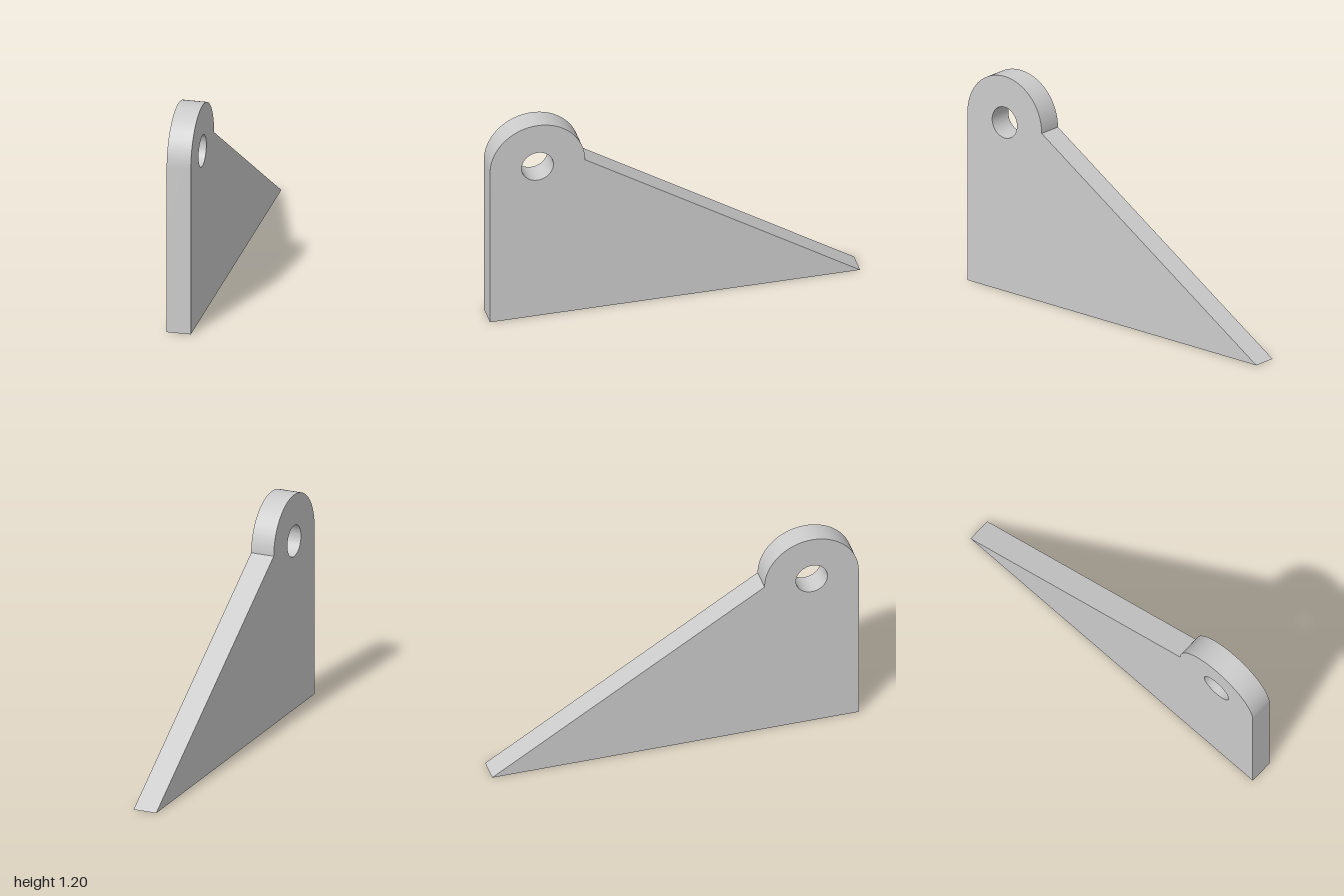
import * as THREE from 'three';
import { toCreasedNormals } from 'three/addons/utils/BufferGeometryUtils.js';

export function createModel() {
  const group = new THREE.Group();
  group.name = 'gussetBracket';

  const thickness = 0.13;
  const radius = 0.257;
  const eyeZ = 1 - radius;
  const eyeY = 0.938;

  // Side profile: upright front edge, rounded eye, sloping back edge
  const profile = new THREE.Shape();
  profile.moveTo(-1, 0);
  profile.lineTo(1, 0);
  profile.lineTo(1, eyeY);
  profile.absarc(eyeZ, eyeY, radius, 0, Math.PI, false);
  profile.closePath();

  // Pin hole, concentric with the eye
  const hole = new THREE.Path();
  hole.absarc(eyeZ, eyeY, 0.086, 0, Math.PI * 2, true);
  profile.holes.push(hole);

  // Extrude, centre the thickness and turn the profile to run along z
  const geometry = new THREE.ExtrudeGeometry(profile, {
    depth: thickness,
    bevelEnabled: false,
    curveSegments: 48,
  });
  geometry.translate(0, 0, -thickness / 2);
  geometry.rotateY(-Math.PI / 2);

  const plate = new THREE.Mesh(
    toCreasedNormals(geometry, 0.5),
    new THREE.MeshStandardMaterial({ color: 0xcccccc })
  );
  plate.name = 'bracketPlate';
  group.add(plate);
  return group;
}
